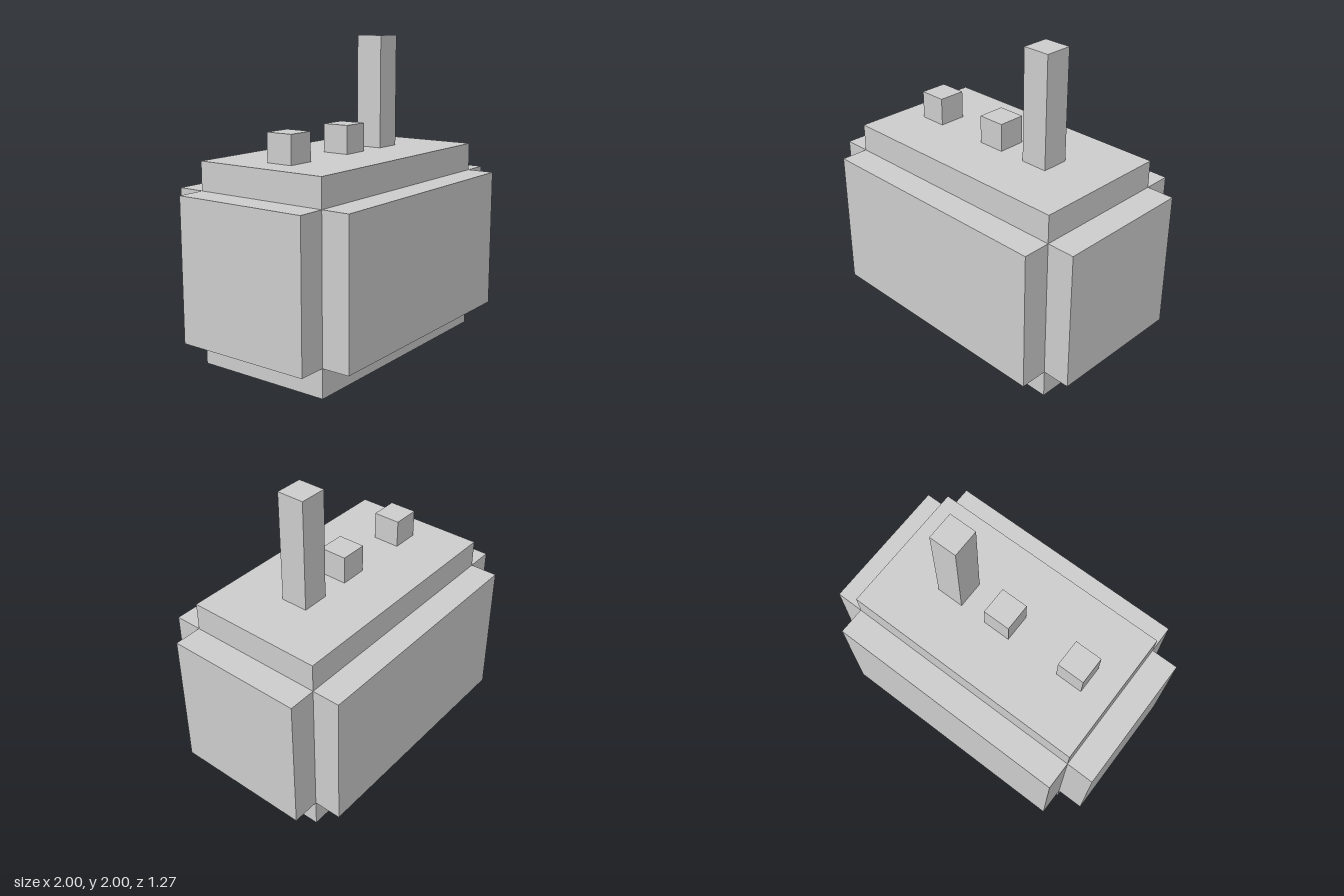
import * as THREE from 'three';

// The model sits on a regular block grid: 22 blocks span 2 units.
const U = 1 / 11;

export function createModel() {
  const model = new THREE.Group();
  model.name = 'blockBody';
  const material = new THREE.MeshStandardMaterial({ color: 0xcccccc, flatShading: true });

  // Box given by its size, the centre of its base and a name, all in blocks
  const block = (name, [w, h, d], [x, y, z]) => {
    const mesh = new THREE.Mesh(new THREE.BoxGeometry(w * U, h * U, d * U), material);
    mesh.position.set(x * U, (y + h / 2) * U, z * U);
    mesh.name = name;
    model.add(mesh);
  };

  // Main body
  block('core', [18, 14, 10], [0, 0, 0]);

  // Raised panels on the four walls
  for (const s of [1, -1]) {
    block(s > 0 ? 'leftPanel' : 'rightPanel', [2, 10, 10], [s * 10, 2, 0]);
    block(s > 0 ? 'frontPanel' : 'backPanel', [18, 10, 2], [0, 2, s * 6]);
  }

  // Two short pegs and one tall post on the top
  block('rightPeg', [2, 2, 2], [-6, 14, 0]);
  block('middlePeg', [2, 2, 2], [0, 14, 0]);
  block('tallPost', [2, 8, 2], [4, 14, 0]);

  return model;
}
